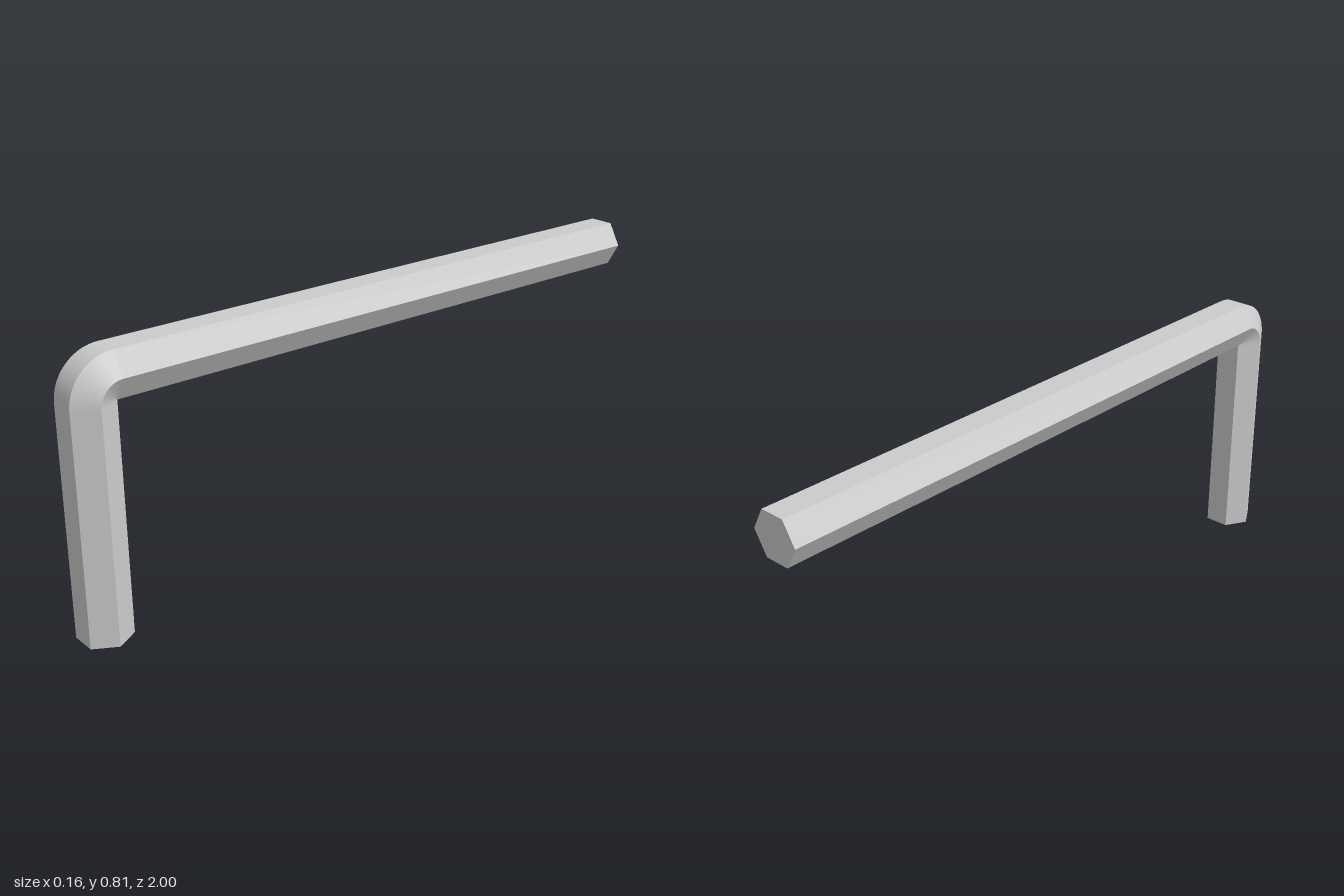
import * as THREE from 'three';

const APOTHEM = 0.0675;                      // half the width across flats
const RADIUS = APOTHEM / Math.cos(Math.PI / 6);
const HEIGHT = 0.813;
const BEND_Y = HEIGHT - 2 * APOTHEM;         // pivot of the bend
const BEND_Z = 1 - 2 * APOTHEM;
const BEND_STEPS = 24;

// Stations along the bar: bend angle t plus the offset along the straight ends
function makeStations() {
  const stations = [{ t: 0, dy: -BEND_Y, dz: 0 }];
  for (let i = 0; i <= BEND_STEPS; i++) {
    stations.push({ t: (i / BEND_STEPS) * Math.PI / 2, dy: 0, dz: 0 });
  }
  stations.push({ t: Math.PI / 2, dy: 0, dz: -1 - BEND_Z });
  return stations;
}

// Point of the cross-section (x across, r away from the pivot) at a station
function place(s, x, r) {
  return [
    x,
    BEND_Y + s.dy + (APOTHEM + r) * Math.sin(s.t),
    BEND_Z + s.dz + (APOTHEM + r) * Math.cos(s.t),
  ];
}

function hexBarGeometry() {
  const pos = [], nor = [], idx = [];
  const stations = makeStations();
  const corner = (s, k) => {
    const a = (k * Math.PI) / 3;
    return place(s, RADIUS * Math.cos(a), RADIUS * Math.sin(a));
  };

  // Six flats, each smooth along the bend with hard edges between them
  for (let k = 0; k < 6; k++) {
    const base = pos.length / 3;
    const mid = ((k + 0.5) * Math.PI) / 3;
    stations.forEach((s, i) => {
      pos.push(...corner(s, k), ...corner(s, k + 1));
      const n = [Math.cos(mid), Math.sin(mid) * Math.sin(s.t), Math.sin(mid) * Math.cos(s.t)];
      nor.push(...n, ...n);
      if (i > 0) {
        const b = base + 2 * i, a = b - 2;
        idx.push(a, b, a + 1, a + 1, b, b + 1);
      }
    });
  }

  // Flat hexagonal end caps
  const addCap = (s, normal, flip) => {
    const base = pos.length / 3;
    for (let k = 0; k < 6; k++) {
      pos.push(...corner(s, k));
      nor.push(...normal);
    }
    for (let k = 1; k < 5; k++) {
      idx.push(base, base + (flip ? k + 1 : k), base + (flip ? k : k + 1));
    }
  };
  addCap(stations[0], [0, -1, 0], false);
  addCap(stations[stations.length - 1], [0, 0, -1], true);

  const geometry = new THREE.BufferGeometry();
  geometry.setAttribute('position', new THREE.Float32BufferAttribute(pos, 3));
  geometry.setAttribute('normal', new THREE.Float32BufferAttribute(nor, 3));
  geometry.setIndex(idx);
  return geometry;
}

export function createModel() {
  const group = new THREE.Group();
  group.name = 'hexKey';
  const bar = new THREE.Mesh(
    hexBarGeometry(),
    new THREE.MeshStandardMaterial({ color: 0xcccccc })
  );
  bar.name = 'bentHexBar';
  group.add(bar);
  return group;
}
